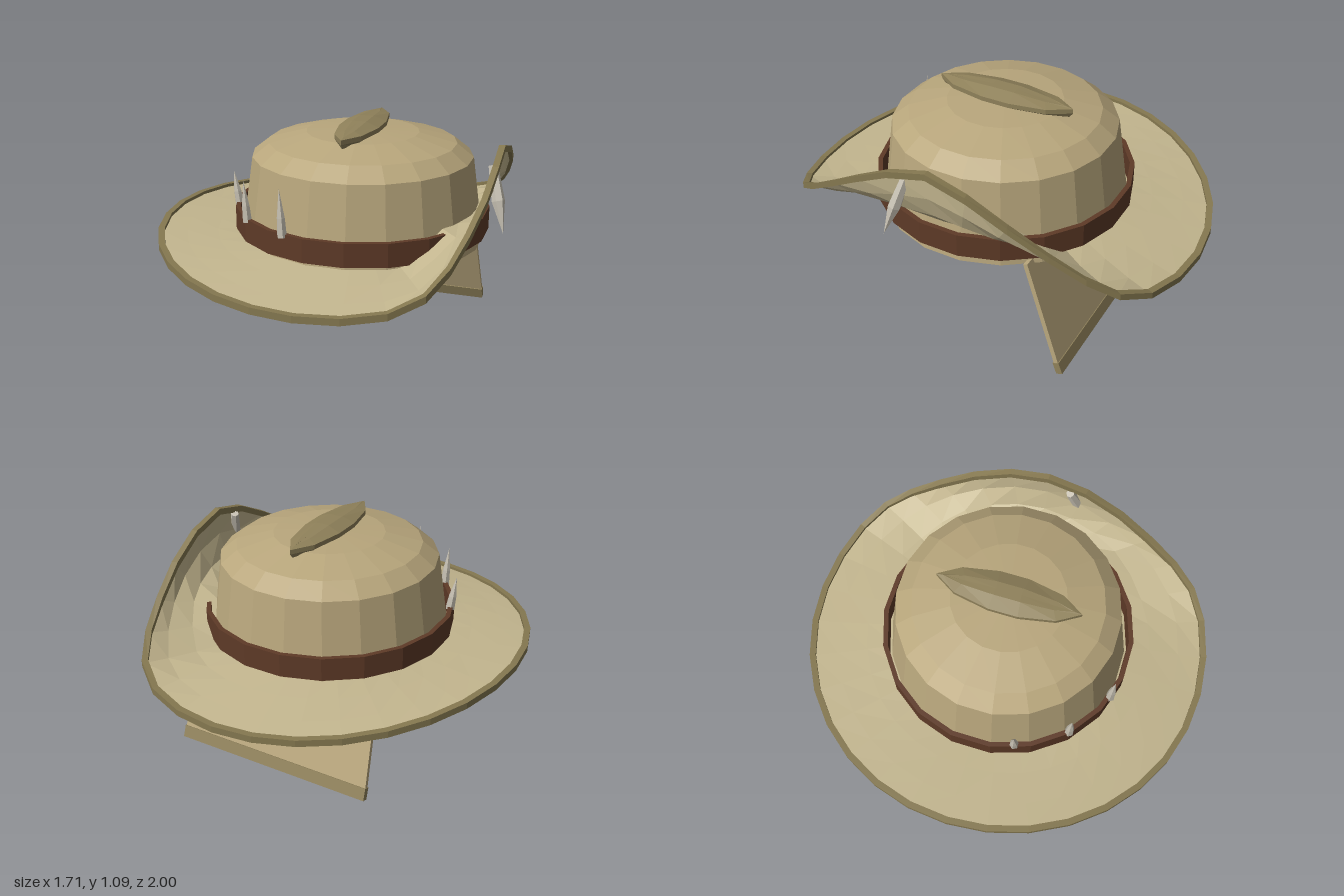
import * as THREE from 'three';

const CX = 0.13; // crown axis
const SEG = 32;
const V = (x, y, z) => new THREE.Vector3(x, y, z);

const mat = (color, side = THREE.FrontSide) =>
  new THREE.MeshStandardMaterial({ color, flatShading: true, side });
const tan = mat(0xb8a67c);
const brimMat = mat(0xc2b58e, THREE.DoubleSide);
const trimMat = mat(0x857850, THREE.DoubleSide);
const darkTan = mat(0x8f815a);
const leather = mat(0x5e3a27);
const bone = mat(0xc8c2b4);

// Joins rows of points, each row closed on itself; wrap joins last row to first
function loft(rows, wrap) {
  const n = rows[0].length, index = [];
  const last = wrap ? rows.length : rows.length - 1;
  for (let i = 0; i < last; i++) {
    const a = i * n, b = ((i + 1) % rows.length) * n;
    for (let j = 0; j < n; j++) {
      const k = (j + 1) % n;
      index.push(a + j, b + j, b + k, a + j, b + k, a + k);
    }
  }
  const g = new THREE.BufferGeometry().setFromPoints(rows.flat());
  g.setIndex(index);
  g.computeVertexNormals();
  return g;
}

const lathe = (profile, sides) =>
  new THREE.LatheGeometry(profile.map(p => new THREE.Vector2(...p)), sides, Math.PI / sides);

// Right half of the rim, from the turned-up side (+x) round to the front: x and y
const RIM = [[0.795, 1.005], [0.798, 0.955], [0.785, 0.86], [0.75, 0.755], [0.705, 0.66],
  [0.635, 0.58], [0.505, 0.525], [0.325, 0.502], [0.13, 0.495]];

function rimPoint(i) {
  const t = (i / SEG) * Math.PI * 2, c = Math.cos(t), z = 0.985 * Math.sin(t);
  const k = Math.min(i, SEG - i);
  if (k <= 8) return V(RIM[k][0], RIM[k][1], z);
  return V(CX + 0.975 * c, 0.495 + 0.075 * c * c, z);
}

function innerPoint(i) {
  const t = (i / SEG) * Math.PI * 2, c = Math.cos(t);
  const lift = 0.14 * THREE.MathUtils.smoothstep(c, 0.55, 0.85);
  return V(CX + 0.56 * c, 0.56 + lift, 0.56 * Math.sin(t));
}

// Tapered spike whose profile runs from base to tip
function spike(base, tip, profile) {
  const dir = tip.clone().sub(base), len = dir.length();
  const m = new THREE.Mesh(lathe(profile.map(([r, t]) => [r, t * len]), 6), bone);
  m.position.copy(base);
  m.quaternion.setFromUnitVectors(V(0, 1, 0), dir.normalize());
  return m;
}

export function createModel() {
  const hat = new THREE.Group();
  hat.name = 'hat';
  const add = (name, mesh, parent = hat) => {
    mesh.name = name;
    parent.add(mesh);
    return mesh;
  };

  // Crown with closed underside
  const crown = add('crown', new THREE.Mesh(lathe([[0, 0.53], [0.588, 0.53], [0.53, 0.93],
    [0.45, 0.993], [0.27, 1.04], [0, 1.055]], 20), tan));
  crown.position.x = CX;

  // Leather band standing clear of the crown
  const band = add('hatBand', new THREE.Mesh(lathe([[0.615, 0.578], [0.615, 0.69],
    [0.592, 0.69], [0.592, 0.578], [0.615, 0.578]], 20), leather));
  band.position.x = CX;

  // Brim: swept from the crown to the rim, bulging outward on the turned-up side
  const rows = [0, 0.35, 0.7, 1].map(t => Array.from({ length: SEG }, (_, i) => {
    const p = innerPoint(i).lerp(rimPoint(i), t);
    const c = Math.max(0, Math.cos((i / SEG) * Math.PI * 2));
    const bulge = 4 * t * (1 - t) * c * c * 0.035;
    return p.add(V(bulge, -bulge, 0));
  }));
  add('brim', new THREE.Mesh(loft(rows, false), brimMat));

  // Square-section trim along the rim
  const trim = Array.from({ length: SEG }, (_, i) => {
    const t = (i / SEG) * Math.PI * 2, p = rimPoint(i);
    return [[-1, -1], [-1, 1], [1, 1], [1, -1]].map(([r, h]) =>
      V(p.x + r * 0.015 * Math.cos(t), p.y + h * 0.016, p.z + r * 0.015 * Math.sin(t)));
  });
  add('brimTrim', new THREE.Mesh(loft(trim, true), trimMat));

  // Ridge on top: elongated outline, bevelled towards a narrow top
  const outline = [[0, -0.345], [0.065, -0.24], [0.097, -0.07], [0.097, 0.07], [0.065, 0.24],
    [0, 0.345], [-0.065, 0.24], [-0.097, 0.07], [-0.097, -0.07], [-0.065, -0.24]];
  const ring = (sx, sz, y, arch) => outline.map(([x, z]) =>
    V(CX + x * sx, y + arch * (1 - Math.abs(z) / 0.345), z * sz));
  const ridge = loft([ring(0.6, 0.95, 1.03, 0), ring(1, 1, 1.052, 0), ring(1, 1, 1.074, 0),
    ring(0.35, 0.9, 1.08, 0.022), ring(0, 0.85, 1.08, 0.022)], false);
  darkTan.side = THREE.DoubleSide;
  add('topRidge', new THREE.Mesh(ridge, darkTan));

  // Neck flap with a thicker hem, hanging from the back
  const flap = new THREE.Group();
  flap.position.set(CX + 0.005, 0.55, -0.37);
  flap.rotation.x = 0.354;
  add('neckFlap', flap);
  const panel = (y0, w0, y1, w1, d) => {
    const s = new THREE.Shape([[-w0, y0], [-w1, y1], [w1, y1], [w0, y0]]
      .map(p => new THREE.Vector2(...p)));
    return new THREE.ExtrudeGeometry(s, { depth: d, bevelEnabled: false }).translate(0, 0, -d / 2);
  };
  add('flapCloth', new THREE.Mesh(panel(0, 0.483, -0.52, 0.518, 0.022), tan), flap);
  add('flapHem', new THREE.Mesh(panel(-0.515, 0.52, -0.575, 0.521, 0.032), darkTan), flap);

  // Teeth tucked into the band
  [[-0.43, 0.2, -0.455, 0.845], [-0.295, 0.43, -0.308, 0.875], [-0.07, 0.57, -0.08, 0.9]]
    .forEach(([x, z, tipX, tipY], i) => add('bandTooth' + (i + 1),
      spike(V(x, 0.675, z), V(tipX, tipY, z + 0.005), [[0, 0], [0.023, 0], [0.019, 0.4], [0, 1]])));

  // Fang pinned through the turned-up brim
  add('brimFang', spike(V(0.775, 0.955, 0.115), V(0.85, 0.665, 0.205),
    [[0, 0], [0.021, 0], [0.024, 0.15], [0.03, 0.52], [0, 1]]));

  return hat;
}
